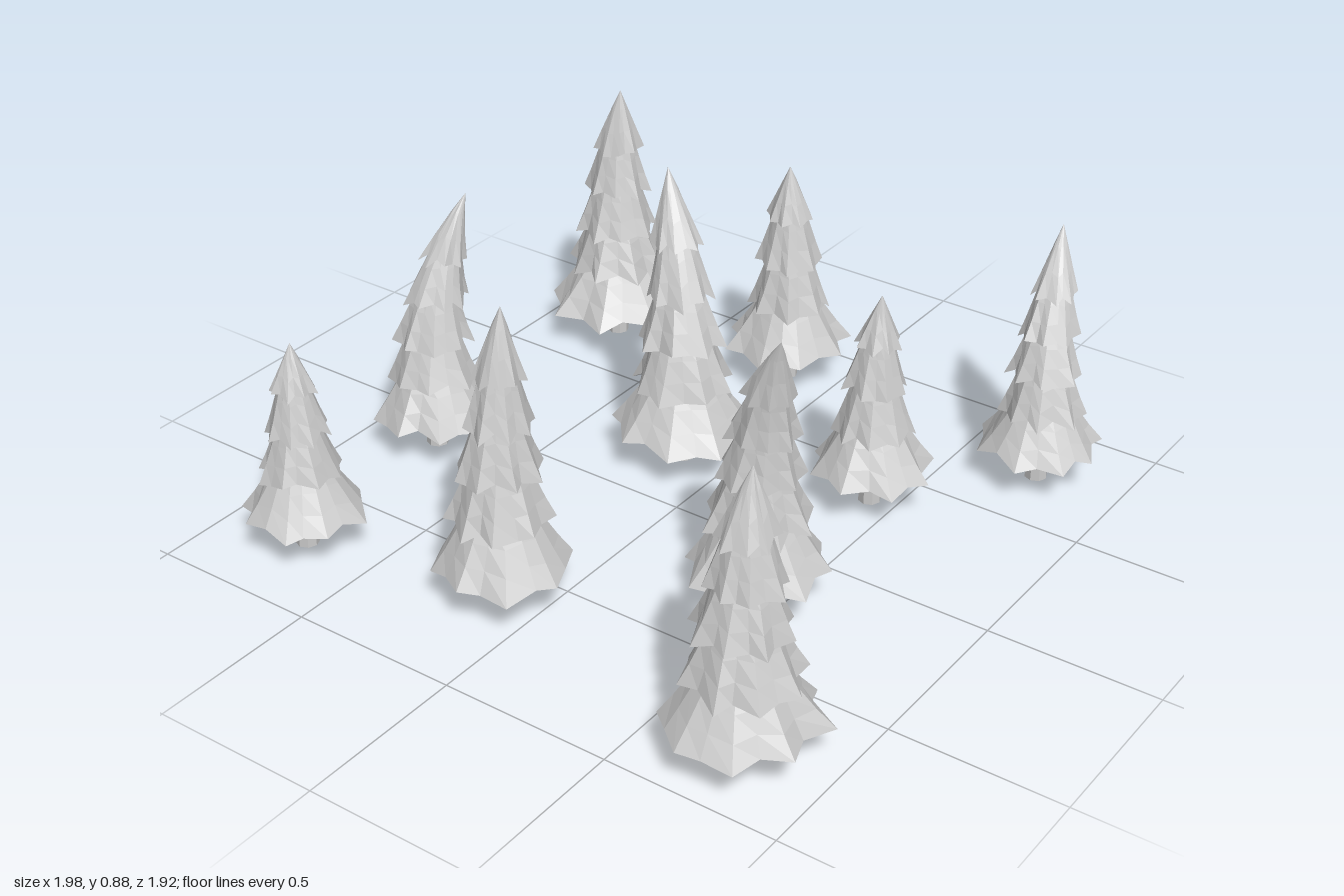
import * as THREE from 'three';

// Small seeded generator so every tree is ragged in its own way
function makeRandom(seed) {
  let s = seed;
  return () => {
    s = (s * 16807) % 2147483647;
    return s / 2147483647;
  };
}

const LOBES = 8;
const SIDES = LOBES * 2;

// x, z, height, skirt radius, tier count, sideways drift of the tip in x and z
const TREES = [
  [-0.73, -0.73, 0.63, 0.175, 4, 0, 0],
  [-0.12, -0.78, 0.78, 0.19, 5, 0.12, 0.05],
  [0.735, -0.755, 0.83, 0.215, 5, 0, 0.02],
  [-0.61, -0.13, 0.88, 0.2, 5, 0.01, 0.02],
  [0.235, -0.145, 0.87, 0.21, 5, 0.08, -0.11],
  [0.81, -0.16, 0.71, 0.19, 4, -0.01, 0],
  [-0.225, 0.425, 0.86, 0.205, 5, -0.09, 0.115],
  [0.355, 0.42, 0.66, 0.18, 4, 0, 0.01],
  [-0.785, 0.755, 0.825, 0.22, 5, 0.015, 0.01],
  [0.74, 0.745, 0.75, 0.18, 5, 0.12, -0.04],
];

// One ragged skirt: a closed underside, a pleated rim and a tapering flank
function tierGeometry(rimY, rimR, topY, topR, bend, random) {
  const rise = topY - rimY;
  const phase = random() * Math.PI * 2;
  const jitter = Array.from({ length: SIDES }, () => [random() - 0.5, random() - 0.5, random() - 0.5]);

  // rows: height, radius, pleat strength
  const rows = [
    [rimY + 0.045, 0, 0],
    [rimY + 0.03, rimR * 0.5, 0.4],
    [rimY, rimR, 1],
  ];
  for (const t of [0.35, 0.7, 1]) {
    const shrink = topR > 0 ? Math.pow(t, 0.9) : t;
    rows.push([rimY + rise * t, rimR + (topR - rimR) * shrink, 1 - t * 0.8]);
  }

  const positions = [];
  for (const [y, r, pleat] of rows) {
    for (let i = 0; i < SIDES; i++) {
      const [ja, jr, jy] = jitter[i];
      const valley = i % 2;
      const a = phase + ((i + ja * 0.5 * pleat) / SIDES) * Math.PI * 2;
      const radius = r * (1 + pleat * (jr * 0.12 - valley * 0.17));
      const py = y + pleat * (valley * 0.012 + jy * 0.025) * (r > 0 ? 1 : 0);
      const [bx, bz] = bend(py);
      positions.push(bx + Math.cos(a) * radius, py, bz + Math.sin(a) * radius);
    }
  }

  const index = [];
  for (let j = 0; j < rows.length - 1; j++) {
    for (let i = 0; i < SIDES; i++) {
      const n = (i + 1) % SIDES;
      const a = j * SIDES + i, b = j * SIDES + n;
      const c = a + SIDES, d = b + SIDES;
      if (rows[j + 1][1] > 0) index.push(a, c, d);
      else index.push(a, c, b);
      if (rows[j][1] > 0 && rows[j + 1][1] > 0) index.push(a, d, b);
    }
  }
  const geometry = new THREE.BufferGeometry();
  geometry.setAttribute('position', new THREE.Float32BufferAttribute(positions, 3));
  geometry.setIndex(index);
  const flat = geometry.toNonIndexed();
  flat.computeVertexNormals();
  return flat;
}

function createTree([x, z, height, radius, tiers, leanX, leanZ], seed, material) {
  const tree = new THREE.Group();
  tree.name = 'tree';
  tree.position.set(x, 0, z);
  const random = makeRandom(seed);

  // The trunk line stays upright low down and curls over near the tip
  const bend = (y) => {
    const t = Math.max(0, (y - 0.25) / (height - 0.25));
    const k = Math.pow(t, 2.2);
    return [leanX * k, leanZ * k];
  };

  const trunk = new THREE.Mesh(new THREE.CylinderGeometry(0.03, 0.033, 0.18, 8), material);
  trunk.name = 'trunk';
  trunk.position.y = 0.09;
  tree.add(trunk);

  // Skirts of branches, each tucked under the next
  const rimY = (i) => 0.105 + (height * 0.765 - 0.105) * (i / (tiers - 1));
  const rimR = (i) => radius * (i === 0 ? 1 : 0.84 - 0.47 * (i / (tiers - 1)));
  for (let i = 0; i < tiers; i++) {
    const last = i === tiers - 1;
    const topY = last ? height : rimY(i + 1) + 0.03;
    const topR = last ? 0 : rimR(i + 1) * 0.62;
    const tier = new THREE.Mesh(tierGeometry(rimY(i), rimR(i), topY, topR, bend, random), material);
    tier.name = last ? 'treeTip' : 'branchSkirt';
    tree.add(tier);
  }
  return tree;
}

export function createModel() {
  const model = new THREE.Group();
  model.name = 'pineGrove';
  const grey = new THREE.MeshStandardMaterial({ color: 0xcccccc, flatShading: true });
  grey.name = 'lightGrey';
  TREES.forEach((spec, i) => model.add(createTree(spec, 7919 * (i + 3), grey)));
  return model;
}
